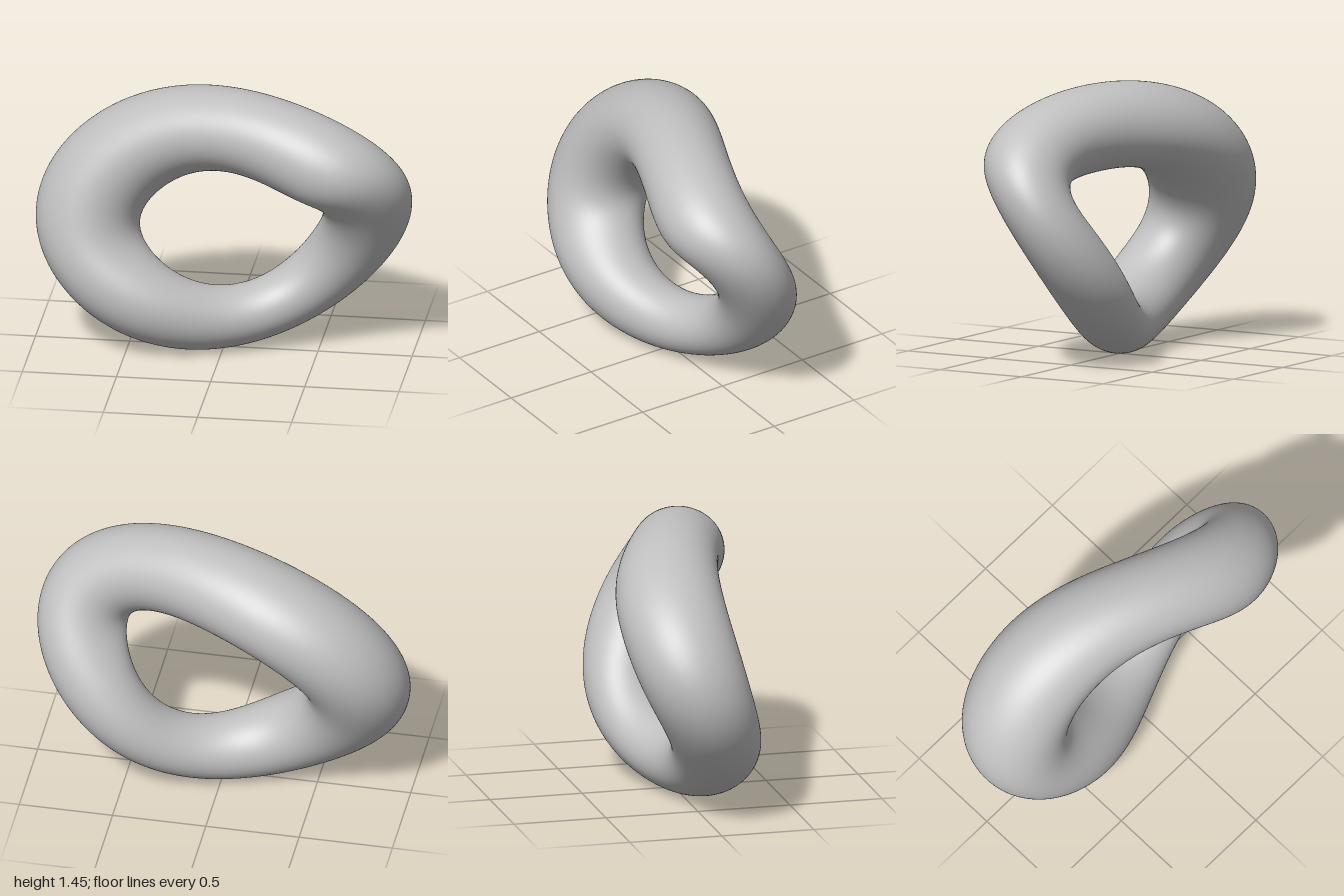
import * as THREE from 'three';

const { sin, cos, PI } = Math;

// Every rule below runs with t from the model's left over the top and round

// Outer rim as seen from the front
const outerRim = (t) => [
  cos(t) + 0.065 * sin(t),
  0.765 + 0.043 * cos(t) + 0.713 * sin(t) + 0.04 * cos(2 * t) - 0.012 * (sin(3 * t) - cos(3 * t))
    + 0.002
];

// Edge of the hole as seen from the front
const innerRim = (t) => [
  0.0575 + 0.49 * cos(t) + 0.06 * sin(t) - 0.0175 * cos(2 * t),
  0.7075 + 0.033 * cos(t) + 0.3165 * sin(t) + 0.0375 * cos(2 * t)
    - 0.0135 * sin(3 * t) + 0.022 * cos(3 * t)
];

// Saddle bend: how far the middle of the tube swings forward and back
const bend = (t) => -0.006 + 0.03 * cos(t) + 0.0175 * sin(t) - 0.016 * cos(2 * t) + 0.13 * sin(2 * t)
  + 0.0075 * cos(3 * t) + 0.0175 * sin(3 * t) - 0.006 * sin(4 * t);

// Half depth of the tube: thickest at the model's right, thinnest at the bottom
const halfDepth = (t) => 0.24 - 0.03 * cos(t) + 0.035 * sin(t) + 0.01 * cos(2 * t);

// Closed skin made of oval cross-sections spanning the two rims
function ringGeometry(rings = 240, sides = 96) {
  const positions = [], index = [];
  for (let i = 0; i < rings; i++) {
    const t = (i / rings) * 2 * PI;
    const [ox, oy] = outerRim(t), [ix, iy] = innerRim(t);
    const z = bend(t), depth = halfDepth(t);
    for (let j = 0; j < sides; j++) {
      const a = (j / sides) * 2 * PI, w = 0.5 + 0.5 * cos(a);
      positions.push(ix + (ox - ix) * w, iy + (oy - iy) * w, z + depth * sin(a));
      const i2 = (i + 1) % rings, j2 = (j + 1) % sides;
      const A = i * sides + j, B = i2 * sides + j, C = i2 * sides + j2, D = i * sides + j2;
      index.push(A, B, C, A, C, D);
    }
  }
  const g = new THREE.BufferGeometry();
  g.setAttribute('position', new THREE.Float32BufferAttribute(positions, 3));
  g.setIndex(index);
  g.computeVertexNormals();
  return g;
}

export function createModel() {
  const group = new THREE.Group();
  group.name = 'bentRingSculpture';
  const grey = new THREE.MeshStandardMaterial({ color: 0xbfbfbf });
  grey.name = 'grey';
  const ring = new THREE.Mesh(ringGeometry(), grey);
  ring.name = 'bentRing';
  group.add(ring);
  return group;
}
